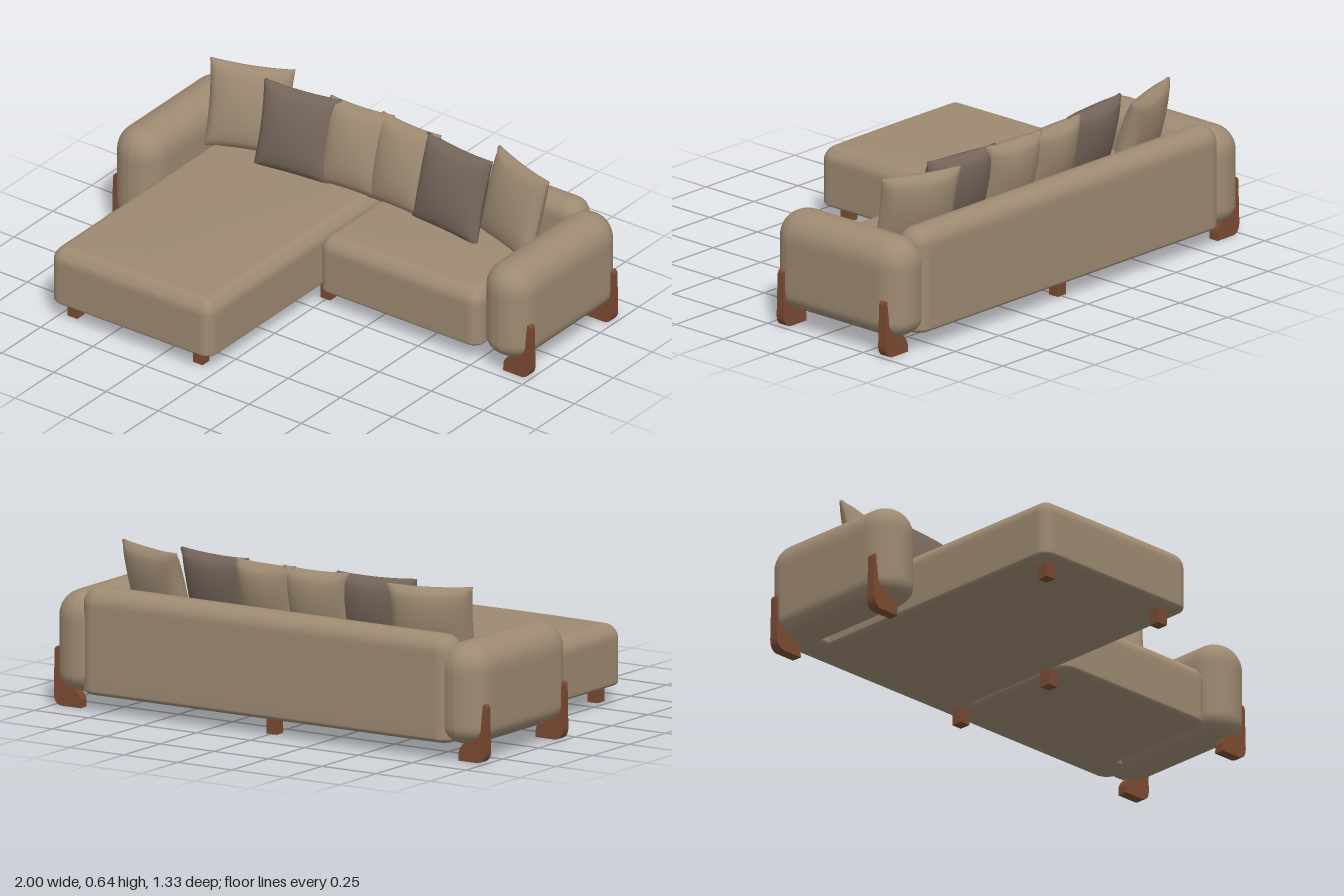
import * as THREE from 'three';
import { mergeVertices } from 'three/addons/utils/BufferGeometryUtils.js';

const fabric = new THREE.MeshStandardMaterial({ color: 0x9d8a72 });
fabric.name = 'beige fabric';
const darkFabric = new THREE.MeshStandardMaterial({ color: 0x75655b });
darkFabric.name = 'brown fabric';
const wood = new THREE.MeshStandardMaterial({ color: 0x7a4a32 });
wood.name = 'walnut wood';

// Drop seams and recompute smooth normals
function smooth(geo) {
  geo.deleteAttribute('uv');
  geo.deleteAttribute('normal');
  const merged = mergeVertices(geo, 1e-5);
  merged.computeVertexNormals();
  return merged;
}

// Upholstered box between two corners: radius r, bottom edge radius rb, crowned top
function softBox([x0, y0, z0], [x1, y1, z1], r, rb, puff = 0) {
  const geo = new THREE.BoxGeometry(2, 2, 2, 20, 20, 20);
  const pos = geo.attributes.position;
  const hx = (x1 - x0) / 2, hy = (y1 - y0) / 2, hz = (z1 - z0) / 2;
  // inner core position and overshoot into the rounded zone for one axis
  const split = (u, half, rad) => {
    const a = Math.abs(u), s = Math.sign(u);
    return [s * Math.min(a / 0.5, 1) * (half - rad), s * Math.max(0, (a - 0.5) / 0.5)];
  };
  const dir = new THREE.Vector3();
  for (let i = 0; i < pos.count; i++) {
    const u = pos.getX(i), v = pos.getY(i), w = pos.getZ(i);
    const ry = v < 0 ? rb : r;
    const [cx, dx] = split(u, hx, r), [cy, dy] = split(v, hy, ry), [cz, dz] = split(w, hz, r);
    dir.set(dx, dy, dz).normalize();
    const crown = v > 0 ? puff * v * (1 - u * u) * (1 - w * w) : 0;
    pos.setXYZ(i, cx + dir.x * r, cy + dir.y * ry + crown, cz + dir.z * r);
  }
  geo.translate((x0 + x1) / 2, (y0 + y1) / 2, (z0 + z1) / 2);
  return smooth(geo);
}

// Stuffed square cushion with pinched sides, pointed corners and a thin seam
function pillowGeometry(w, h, t) {
  const geo = new THREE.BoxGeometry(2, 2, 2, 22, 22, 2);
  const pos = geo.attributes.position;
  for (let i = 0; i < pos.count; i++) {
    const u = pos.getX(i), v = pos.getY(i), s = pos.getZ(i);
    const bulge = Math.pow((1 - u * u) * (1 - v * v), 0.45);
    pos.setXYZ(i,
      u * w / 2 * (1 - 0.06 * (1 - v * v)),
      v * h / 2 * (1 - 0.05 * (1 - u * u)),
      s * (0.006 + (t / 2 - 0.006) * bulge));
  }
  return smooth(geo);
}

// Wooden foot that wraps under and up the outside of an arm
function armLegGeometry() {
  const s = new THREE.Shape();
  s.moveTo(0.875, 0);
  s.lineTo(0.965, 0);
  s.quadraticCurveTo(1.0, 0.005, 1.0, 0.05);
  s.lineTo(1.0, 0.215);
  s.quadraticCurveTo(0.998, 0.23, 0.985, 0.23);
  s.lineTo(0.975, 0.13);
  s.lineTo(0.92, 0.085);
  s.quadraticCurveTo(0.88, 0.06, 0.875, 0.03);
  const geo = new THREE.ExtrudeGeometry(s, { depth: 0.042, bevelEnabled: false, curveSegments: 8 });
  geo.translate(0, 0, -0.021);
  const pos = geo.attributes.position;
  for (let i = 0; i < pos.count; i++) pos.setZ(i, pos.getZ(i) * (1 - 1.5 * pos.getY(i)));
  geo.computeVertexNormals();
  return geo;
}

export function createModel() {
  const sofa = new THREE.Group();
  sofa.name = 'sectionalSofa';
  const add = (name, geo, mat) => {
    const m = new THREE.Mesh(geo, mat);
    m.name = name;
    sofa.add(m);
    return m;
  };

  // Seats and backrest
  add('chaiseSeat', softBox([-0.775, 0.06, -0.58], [-0.005, 0.3, 0.665], 0.05, 0.02, 0.014), fabric);
  add('shortSeat', softBox([0.002, 0.06, -0.58], [0.77, 0.3, -0.02], 0.05, 0.02, 0.012), fabric);
  add('backrest', softBox([-0.86, 0.06, -0.665], [0.86, 0.485, -0.525], 0.066, 0.025), fabric);

  // Arms with their wraparound legs
  const legGeo = armLegGeometry();
  for (const side of [-1, 1]) {
    const tag = side > 0 ? 'left' : 'right';
    const arm = softBox([-0.107, 0.06, -0.665], [0.107, 0.46, 0.003], 0.105, 0.075);
    arm.translate(side * 0.885, 0, 0);
    add(tag + 'Arm', arm, fabric);
    for (const [name, z] of [['FrontLeg', -0.066], ['BackLeg', -0.598]]) {
      const leg = add(tag + name, legGeo, wood);
      leg.position.z = z;
      leg.rotation.y = side > 0 ? 0 : Math.PI;
    }
  }

  // Small block feet under the seats
  const footGeo = new THREE.BoxGeometry(0.046, 0.07, 0.046);
  for (const [x, z] of [[-0.698, 0.592], [-0.097, 0.592], [-0.004, -0.103], [-0.004, -0.587]]) {
    add('seatFoot', footGeo, wood).position.set(x, 0.035, z);
  }

  // Pillows, mirrored: x, z, turn, width, thickness
  const pillows = [
    ['outerPillow', 0.635, -0.44, 0.34, 0.34, 0.12, fabric],
    ['brownPillow', 0.37, -0.395, 0.12, 0.34, 0.13, darkFabric],
    ['middlePillow', 0.115, -0.43, 0.06, 0.29, 0.14, fabric],
  ];
  for (const [name, x, z, turn, w, t, mat] of pillows) {
    const geo = pillowGeometry(w, 0.35, t);
    for (const side of [-1, 1]) {
      const p = add((side > 0 ? 'left ' : 'right ') + name, geo, mat);
      p.rotation.order = 'YXZ';
      p.rotation.set(-0.25, -side * turn, 0);
      p.position.set(side * x, 0.468, z);
    }
  }
  return sofa;
}
